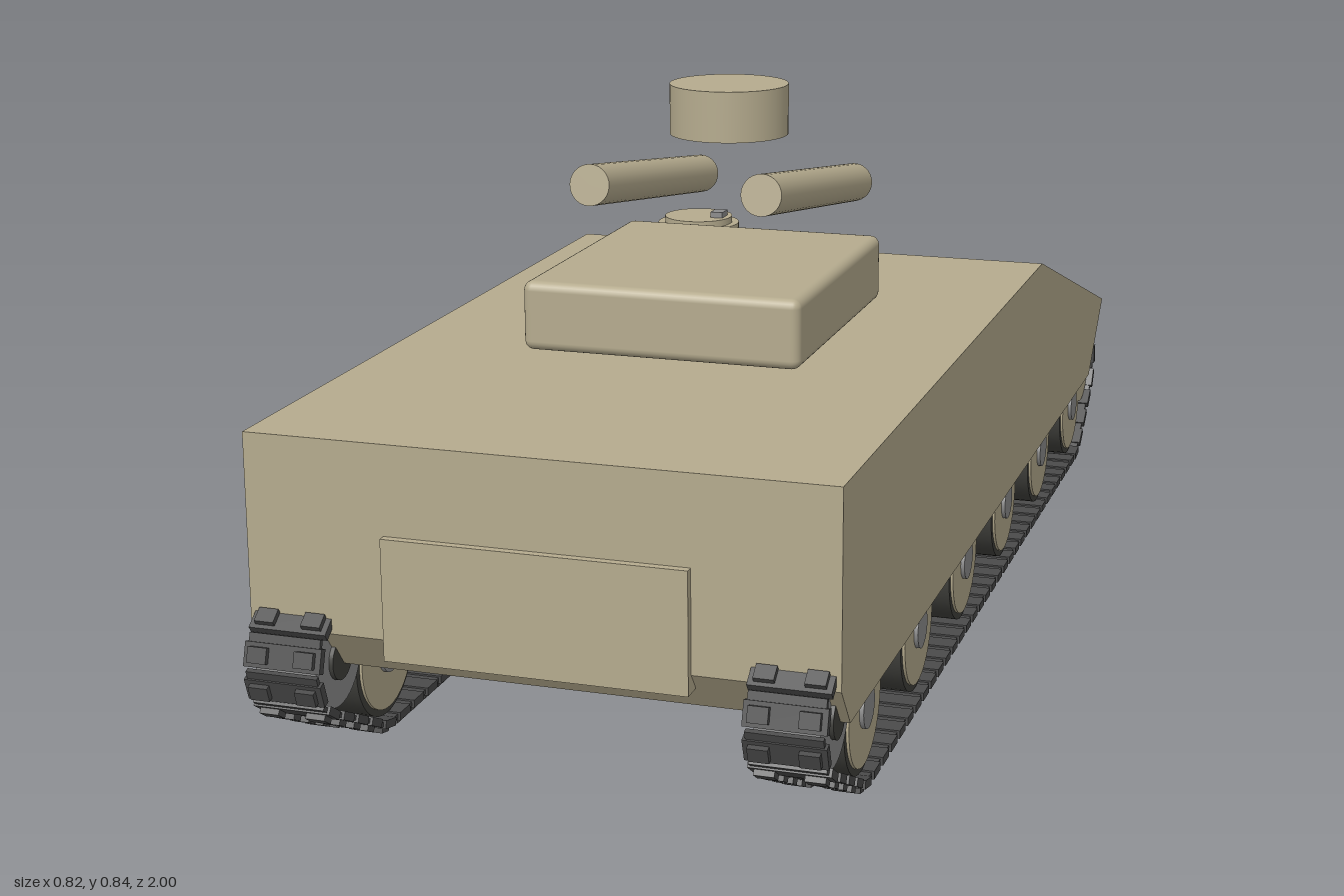
import * as THREE from 'three';
import { mergeGeometries } from 'three/addons/utils/BufferGeometryUtils.js';
import { RoundedBoxGeometry } from 'three/addons/geometries/RoundedBoxGeometry.js';

const paint = new THREE.MeshStandardMaterial({ color: 0xb5ab8e });
const steel = new THREE.MeshStandardMaterial({ color: 0x8c8c8c });
const rubber = new THREE.MeshStandardMaterial({ color: 0x40403c });
const linkSteel = new THREE.MeshStandardMaterial({ color: 0x4a4a4a });

function add(parent, name, geometry, material, x = 0, y = 0, z = 0) {
  const mesh = new THREE.Mesh(geometry, material);
  mesh.name = name;
  mesh.position.set(x, y, z);
  parent.add(mesh);
  return mesh;
}

// Cylinder lying along x
const disc = (r, width, sides = 40) =>
  new THREE.CylinderGeometry(r, r, width, sides).rotateZ(Math.PI / 2);

// Cylinder joining two points
function rod(parent, name, a, b, r, material) {
  const dir = b.clone().sub(a);
  const mesh = add(parent, name, new THREE.CylinderGeometry(r, r, dir.length(), 28), material);
  mesh.position.copy(a).add(b).multiplyScalar(0.5);
  mesh.quaternion.setFromUnitVectors(new THREE.Vector3(0, 1, 0), dir.normalize());
  return mesh;
}

// Closed belt path (z, y) wrapped counter-clockwise around circles
function beltPath(circles) {
  const n = circles.length;
  const normals = circles.map((a, i) => {
    const b = circles[(i + 1) % n];
    const dz = b.z - a.z, dy = b.y - a.y;
    return Math.atan2(dy, dz) - Math.acos((a.r - b.r) / Math.hypot(dz, dy));
  });
  const path = new THREE.Path();
  circles.forEach((c, i) => path.absarc(c.z, c.y, c.r, normals[(i + n - 1) % n], normals[i], false));
  path.closePath();
  return path;
}

const WHEELS = [0.756, 0.447, 0.137, -0.174, -0.482, -0.79];
const WHEEL_Y = 0.118;
const REAR = { z: 0.91, y: 0.165 }, NOSE = { z: -0.9, y: 0.165 };
const TRACK_X = 0.348;

// One linked track, centred on x = 0
function trackGeometry() {
  const path = beltPath([
    { z: WHEELS[5], y: WHEEL_Y, r: 0.102 },
    { z: WHEELS[0], y: WHEEL_Y, r: 0.102 },
    { ...REAR, r: 0.075 },
    { ...NOSE, r: 0.075 },
  ]);
  const count = 86, parts = [];
  const box = (w, h, d, x, y, z) => new THREE.BoxGeometry(w, h, d).translate(x, y, z);
  for (let i = 0; i < count; i++) {
    const p = path.getPointAt(i / count), t = path.getTangentAt(i / count);
    const link = mergeGeometries([
      box(0.112, 0.012, 0.034, 0, 0, 0), // plate
      box(0.104, 0.007, 0.014, 0, 0, 0.022), // hinge pin
      box(0.028, 0.008, 0.022, 0.034, -0.01, 0), // outer pads
      box(0.028, 0.008, 0.022, -0.034, -0.01, 0),
    ]);
    parts.push(link.rotateX(-Math.atan2(t.y, t.x)).translate(0, p.y, p.x));
  }
  return mergeGeometries(parts);
}

// Wheels, arms and track of one side
function runningGear(side, track) {
  const gear = new THREE.Group();
  gear.name = side > 0 ? 'leftRunningGear' : 'rightRunningGear';
  const x = side * TRACK_X;
  add(gear, 'track', track, linkSteel, x);
  for (const z of WHEELS) {
    add(gear, 'roadWheelTyre', disc(0.094, 0.08), rubber, x, WHEEL_Y, z);
    add(gear, 'roadWheel', disc(0.084, 0.088), paint, x, WHEEL_Y, z);
    add(gear, 'wheelHub', disc(0.03, 0.1, 24), steel, x, WHEEL_Y, z);
    add(gear, 'axle', disc(0.014, 0.07, 20), steel, side * 0.313, WHEEL_Y, z);
    rod(gear, 'suspensionArm', new THREE.Vector3(side * 0.288, WHEEL_Y, z),
      new THREE.Vector3(side * 0.288, 0.17, z - 0.13), 0.011, steel);
  }
  add(gear, 'driveSprocket', disc(0.069, 0.088), steel, x, REAR.y, REAR.z);
  add(gear, 'sprocketHub', disc(0.03, 0.1, 24), rubber, x, REAR.y, REAR.z);
  add(gear, 'idlerWheel', disc(0.069, 0.088), paint, x, NOSE.y, NOSE.z);
  add(gear, 'idlerHub', disc(0.028, 0.1, 24), steel, x, NOSE.y, NOSE.z);
  return gear;
}

export function createModel() {
  const model = new THREE.Group();
  model.name = 'trackedVehicle';

  // Hull: side profile (z, y) extruded across the width
  const profile = [[0.95, 0.486], [-0.35, 0.486], [-1, 0.275], [-0.87, 0.156], [0.905, 0.156], [0.95, 0.215]];
  const shape = new THREE.Shape(profile.map(([z, y]) => new THREE.Vector2(z, y)));
  const hull = new THREE.ExtrudeGeometry(shape, { depth: 0.822, bevelEnabled: false });
  add(model, 'hull', hull.translate(0, 0, -0.411).rotateY(-Math.PI / 2), paint);

  // Rear door
  add(model, 'door', new THREE.BoxGeometry(0.424, 0.17, 0.03), paint, 0, 0.275, 0.947);

  // Turret base, sight drum and launcher tubes
  add(model, 'turret', new RoundedBoxGeometry(0.424, 0.104, 0.472, 3, 0.014), paint, 0, 0.54, 0.218);
  add(model, 'sightDrum', new THREE.CylinderGeometry(0.092, 0.092, 0.078, 48), paint, 0, 0.805, 0.11);
  for (const side of [-1, 1]) {
    rod(model, 'launcherTube', new THREE.Vector3(side * 0.132, 0.726, 0.377),
      new THREE.Vector3(side * 0.132, 0.648, -0.149), 0.031, paint);
  }

  // Driver hatch
  const hatch = new THREE.Group();
  hatch.name = 'driverHatch';
  hatch.position.set(-0.23, 0, -0.437);
  add(hatch, 'hatchRing', new THREE.CylinderGeometry(0.072, 0.072, 0.015, 40), paint, 0, 0.495, 0);
  add(hatch, 'hatchLid', new THREE.CylinderGeometry(0.06, 0.06, 0.012, 40), paint, 0, 0.508, 0);
  add(hatch, 'hatchHandle', new THREE.BoxGeometry(0.022, 0.012, 0.03), steel, 0.038, 0.518, 0);
  model.add(hatch);

  // Headlights on the sloped nose
  for (const side of [-1, 1]) {
    const light = add(model, 'headlight', new THREE.BoxGeometry(0.052, 0.022, 0.028), paint, side * 0.238, 0.315, -0.892);
    light.rotation.x = -Math.atan2(0.211, 0.65);
  }

  // Running gear on both sides
  const track = trackGeometry();
  for (const side of [-1, 1]) model.add(runningGear(side, track));
  return model;
}
